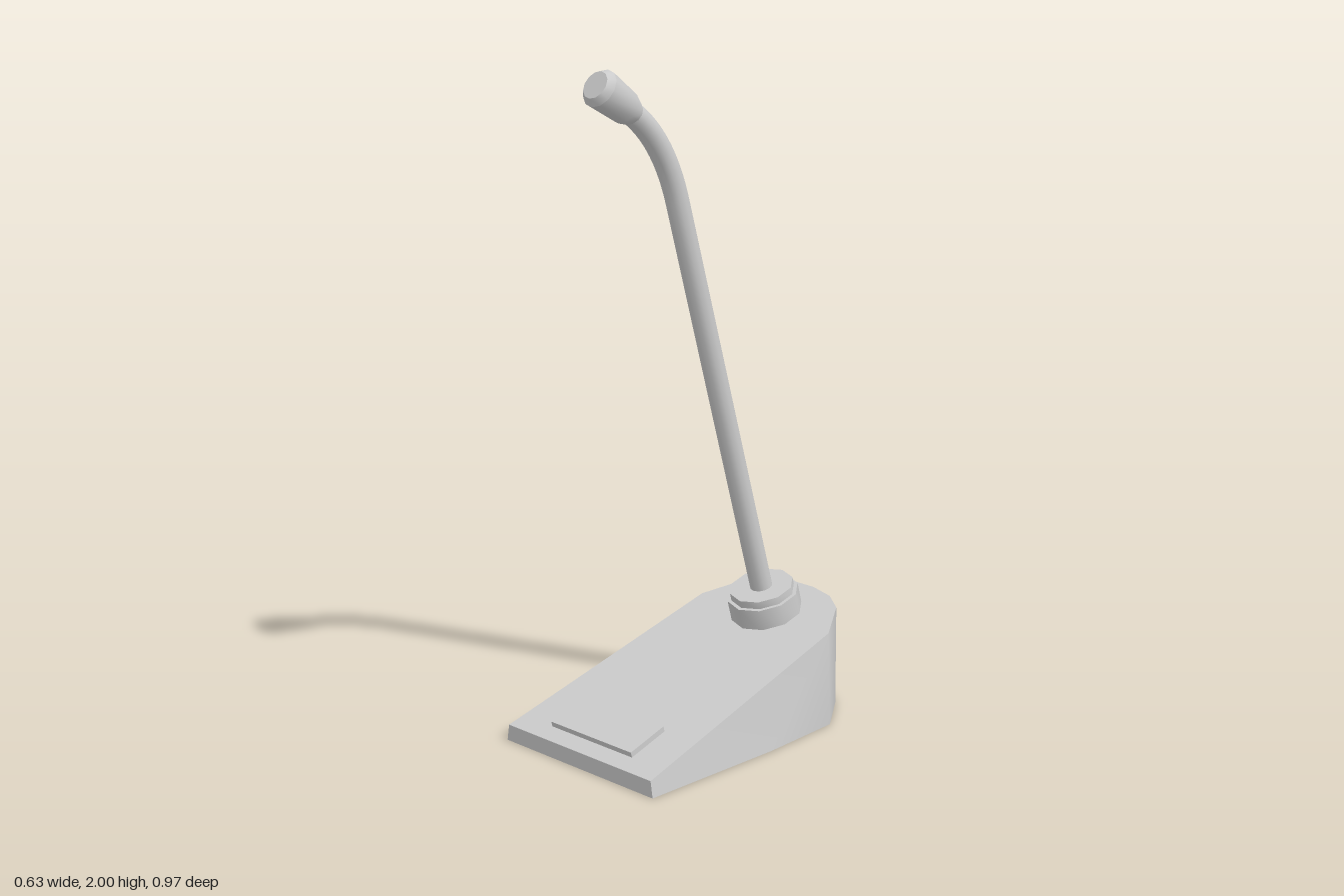
import * as THREE from 'three';
import { toCreasedNormals } from 'three/addons/utils/BufferGeometryUtils.js';
import { ConvexGeometry } from 'three/addons/geometries/ConvexGeometry.js';

const SLOPE = 0.2835;                       // rise of the desk base towards the back
const TILT = Math.atan(SLOPE);
const topY = z => 0.05 + (0.485 - z) * SLOPE;

export function createModel() {
  const group = new THREE.Group();
  const material = new THREE.MeshStandardMaterial({ color: 0xcccccc });
  const add = (name, geometry) => {
    const mesh = new THREE.Mesh(geometry, material);
    mesh.name = name;
    group.add(mesh);
    return mesh;
  };

  // Wedge base: half outlines [x, z] of floor and sloping top, mirrored
  const floor = [[0.306, 0.485], [0.315, 0], [0.302, -0.275], [0.198, -0.42], [0.13, -0.467], [0.045, -0.485]];
  const top = [[0.298, 0.485], [0.265, -0.305], [0.192, -0.425], [0.128, -0.467], [0.045, -0.485]];
  const points = [];
  for (const side of [1, -1]) {
    for (const [x, z] of floor) points.push(new THREE.Vector3(side * x, 0, z));
    for (const [x, z] of top) points.push(new THREE.Vector3(side * x, topY(z), z));
  }
  add('base', toCreasedNormals(new ConvexGeometry(points), 0.7));

  // Push-to-talk plate, slightly wider at its front edge
  const plate = new THREE.BoxGeometry(0.33, 0.03, 0.142);
  const pos = plate.attributes.position;
  for (let i = 0; i < pos.count; i++) pos.setX(i, pos.getX(i) * (1 + 0.2 * pos.getZ(i)));
  plate.computeVertexNormals();
  const button = add('talkButton', plate);
  button.position.set(0, topY(0.362) + 0.002, 0.362);
  button.rotation.x = TILT;

  // Stepped ten-sided collar, square to the sloping top
  const steps = [[0, -0.02], [0.112, -0.02], [0.112, 0.068], [0.1, 0.068], [0.1, 0.092], [0, 0.092]];
  const collarShape = new THREE.LatheGeometry(steps.map(p => new THREE.Vector2(...p)), 10);
  const collar = add('collar', toCreasedNormals(collarShape, 0.7));
  collar.position.set(0, topY(-0.318), -0.318);
  collar.rotation.x = TILT;

  // Stem: straight, then bending forward into the head
  const v = (y, z) => new THREE.Vector3(0, y, z);
  const path = new THREE.CurvePath();
  path.add(new THREE.LineCurve3(v(0.33, -0.303), v(1.6, 0.07)));
  path.add(new THREE.QuadraticBezierCurve3(v(1.6, 0.07), v(1.79, 0.125), v(1.875, 0.255)));
  add('stem', new THREE.TubeGeometry(path, 50, 0.035, 12));

  // Microphone head, from neck to chamfered tip
  const headProfile = [[0, 0], [0.035, 0], [0.049, 0.038], [0.058, 0.15], [0.042, 0.17], [0, 0.17]];
  const headShape = new THREE.LatheGeometry(headProfile.map(p => new THREE.Vector2(...p)), 12);
  const head = add('microphoneHead', toCreasedNormals(headShape, 0.65));
  const axis = new THREE.Vector3(0, 0.54, 0.84).normalize();
  head.quaternion.setFromUnitVectors(new THREE.Vector3(0, 1, 0), axis);
  head.position.set(0, 1.962, 0.388).addScaledVector(axis, -0.17);

  return group;
}
